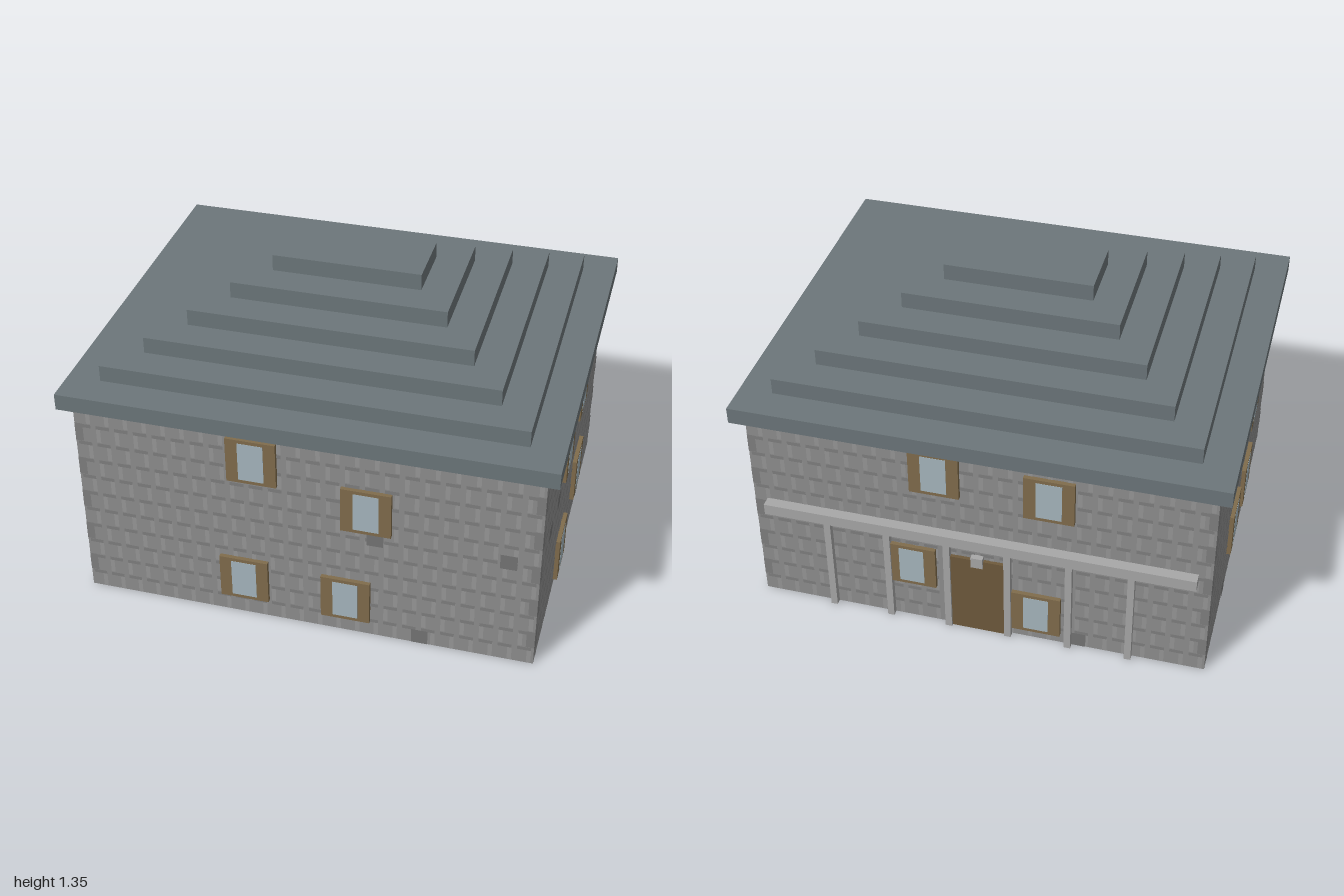
import * as THREE from 'three';
import { mergeGeometries } from 'three/addons/utils/BufferGeometryUtils.js';

const W = 0.95, D = 0.78, H = 0.93; // half width, half depth, wall height
const mat = (color) => new THREE.MeshStandardMaterial({ color });
const mats = {
  wall: mat(0x8e8e8e), joint: mat(0x979797), course: mat(0x7f7f7f), stone: mat(0x747474),
  roof: mat(0x6c767a), wood: mat(0x806c4c), glass: mat(0xa6b6be),
  door: mat(0x6e5a3c), trim: mat(0xa8a8a8),
};

function box(name, w, h, d, x, y, z, material) {
  const mesh = new THREE.Mesh(new THREE.BoxGeometry(w, h, d), material);
  mesh.name = name;
  mesh.position.set(x, y, z);
  return mesh;
}

// Flat rectangle lying just in front of a wall
const patch = (w, h, x, y, z) => new THREE.PlaneGeometry(w, h).translate(x, y, z);

function merged(name, list, material) {
  const mesh = new THREE.Mesh(mergeGeometries(list), material);
  mesh.name = name;
  return mesh;
}

// Shuttered window standing on a wall at local z = 0
function makeWindow(x, y) {
  const g = new THREE.Group();
  g.name = 'window';
  g.position.set(x, y, 0);
  g.add(box('windowFrame', 0.205, 0.205, 0.036, 0, 0, 0, mats.wood));
  g.add(box('windowPane', 0.105, 0.175, 0.038, 0, 0, 0, mats.glass));
  return g;
}

// Masonry pattern: courses, staggered joints, corner stones and odd dark stones
function makeMasonry(half, stones) {
  const g = new THREE.Group();
  g.name = 'masonry';
  const courses = [], joints = [], dark = [];
  const rows = 11, rowH = H / rows, cols = Math.round(half * 2 / 0.08), colW = half * 2 / cols;
  for (let r = 0; r < rows; r++) {
    const y = r * rowH, stagger = r % 2 ? 0.25 : 0.75;
    for (let c = 0; c < cols; c++) {
      const x = -half + (c + stagger) * colW;
      joints.push(patch(0.018, rowH * 0.85, x, y + rowH * 0.45, 0.001));
      courses.push(patch(colW * 0.72, 0.016, -half + (c + 0.5) * colW, y + rowH * 0.88, 0.0015));
    }
    if (r % 2) {
      for (const s of [-1, 1]) courses.push(patch(0.034, rowH, s * (half - 0.017), y + rowH / 2, 0.002));
    }
  }
  for (const [x, y] of stones) dark.push(patch(0.068, 0.068, x, y, 0.0025));
  g.add(merged('joints', joints, mats.joint), merged('courses', courses, mats.course),
    merged('darkStones', dark, mats.stone));
  return g;
}

// One side of the house; local +x runs to the right as seen from outside
function makeSide(name, angle, half, dist, windows, stones) {
  const side = new THREE.Group();
  side.name = name;
  side.rotation.y = angle;
  side.position.set(Math.sin(angle) * dist, 0, Math.cos(angle) * dist);
  side.add(makeMasonry(half, stones));
  for (const [x, y] of windows) side.add(makeWindow(x, y));
  return side;
}

export function createModel() {
  const house = new THREE.Group();
  house.name = 'house';
  house.add(box('walls', W * 2, H, D * 2, 0, H / 2, 0, mats.wall));

  // Stepped roof
  for (let i = 0; i < 6; i++) {
    const s = i * 0.138;
    house.add(box('roofTier', 2 * (1 - s), 0.07, 2 * (0.827 - s), 0, H + 0.035 + i * 0.07, 0, mats.roof));
  }

  // Four sides with their windows
  house.add(makeSide('frontSide', 0, W, D,
    [[-0.21, 0.795], [0.255, 0.64], [-0.26, 0.19], [0.17, 0.175]],
    [[0.29, 0.505], [0.825, 0.505], [0.48, 0.035]]));
  house.add(makeSide('leftSide', Math.PI / 2, D, W,
    [[-0.19, 0.66], [0.185, 0.71], [-0.19, 0.14], [0.22, 0.26]],
    [[-0.555, 0.505], [-0.345, 0.505], [0.38, 0.035]]));
  house.add(makeSide('rightSide', -Math.PI / 2, D, W,
    [[-0.18, 0.68], [0.23, 0.64], [-0.19, 0.3], [0.17, 0.26]],
    [[-0.33, 0.035], [0.24, 0.505]]));
  const back = makeSide('backSide', Math.PI, W, D,
    [[-0.17, 0.81], [0.296, 0.775], [-0.28, 0.3], [0.245, 0.15]],
    [[0.42, 0.035]]);
  house.add(back);

  // Entrance: door, lamp, columns and the beam over them
  back.add(box('door', 0.235, 0.39, 0.03, 0, 0.195, 0, mats.door));
  back.add(box('doorLamp', 0.05, 0.05, 0.04, 0, 0.385, 0.005, mats.trim));
  for (let i = 0; i < 6; i++) {
    back.add(box('porchColumn', 0.028, 0.47, 0.028, -0.635 + i * 0.254, 0.235, 0.012, mats.trim));
  }
  back.add(box('porchBeam', 1.79, 0.05, 0.05, 0, 0.495, 0.02, mats.trim));
  return house;
}
